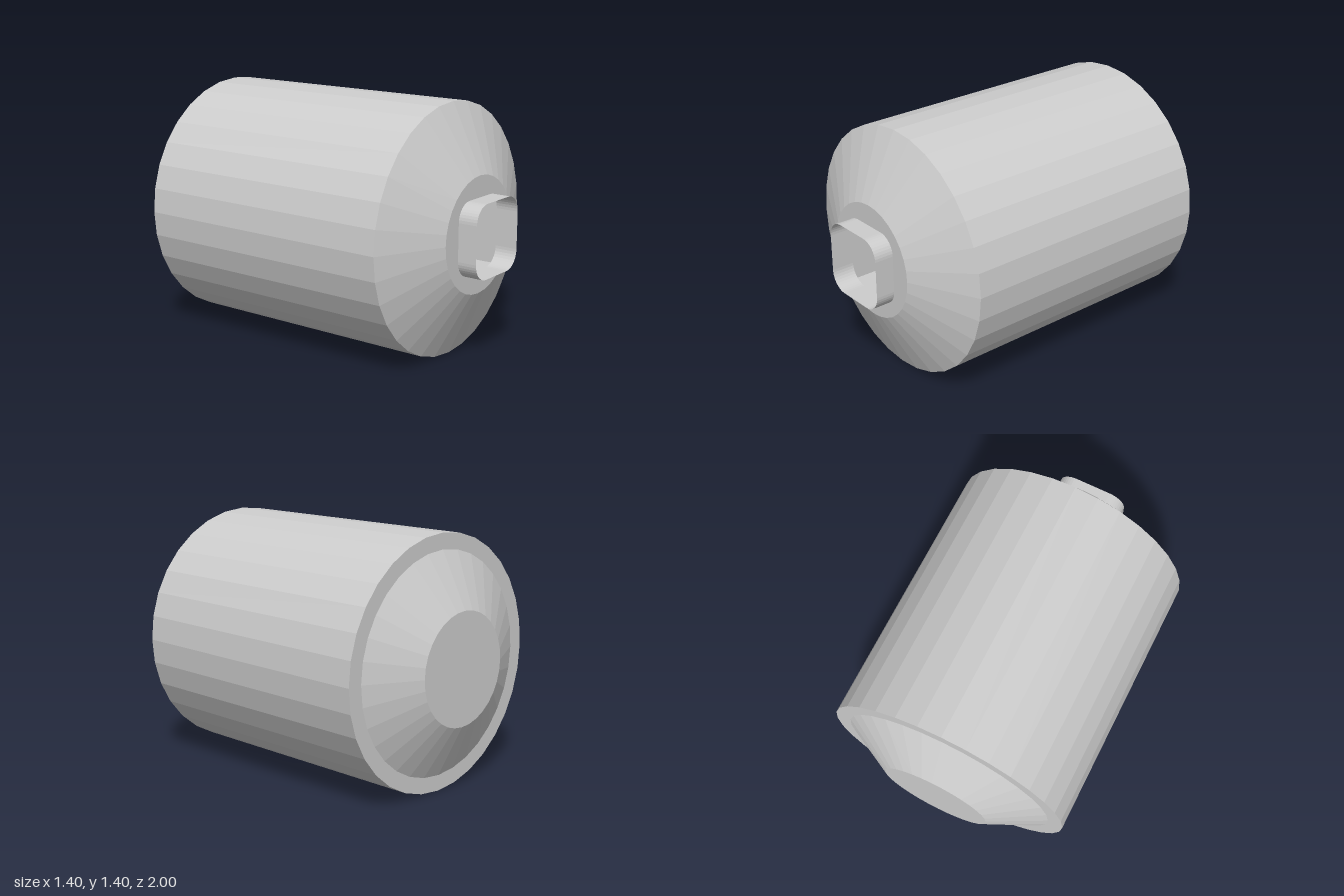
import * as THREE from 'three';

const hullGrey = new THREE.MeshStandardMaterial({ color: 0xcccccc, flatShading: true, side: THREE.DoubleSide });
const SIDES = 32;
const CENTRE_Y = 0.698;

// Square outline with rounded corners, centred on the hull axis
function roundedSquare(half, r) {
  const s = new THREE.Shape();
  s.moveTo(half - r, -half);
  [[1, -1, -90], [1, 1, 0], [-1, 1, 90], [-1, -1, 180]].forEach(([x, y, a]) => {
    const start = THREE.MathUtils.degToRad(a);
    s.absarc(x * (half - r), y * (half - r), r, start, start + Math.PI / 2, false);
  });
  return s;
}

// Open wall following an outline between two depths
function sleeve(outline, z0, z1) {
  const pts = outline.getPoints(5);
  const pos = [];
  pts.forEach((a, i) => {
    const b = pts[(i + 1) % pts.length];
    if (a.distanceTo(b) < 1e-5) return;
    pos.push(a.x, a.y, z0, b.x, b.y, z0, b.x, b.y, z1);
    pos.push(a.x, a.y, z0, b.x, b.y, z1, a.x, a.y, z1);
  });
  const g = new THREE.BufferGeometry();
  g.setAttribute('position', new THREE.Float32BufferAttribute(pos, 3));
  g.computeVertexNormals();
  return g;
}

export function createModel() {
  const group = new THREE.Group();
  const add = (name, geometry) => {
    const mesh = new THREE.Mesh(geometry, hullGrey);
    mesh.name = name;
    mesh.position.y = CENTRE_Y;
    group.add(mesh);
    return mesh;
  };
  // Profile points are [radius, z], running from back to front
  const turned = (name, profile) => {
    const g = new THREE.LatheGeometry(profile.map(([r, z]) => new THREE.Vector2(r, z)), SIDES);
    g.rotateX(Math.PI / 2);
    return add(name, g);
  };

  // Pressure hull: barrel, end cones and the step at the back
  turned('barrel', [[0.698, -0.845], [0.698, 0.71]]);
  turned('frontCone', [[0.698, 0.71], [0.323, 0.89]]);
  turned('backRim', [[0.61, -0.845], [0.698, -0.845]]);
  turned('backCone', [[0.31, -1], [0.61, -0.845]]);
  turned('backCap', [[0, -1], [0.31, -1]]);

  // Front bulkhead, pierced by the hatch
  const bulkhead = new THREE.Shape();
  for (let i = 0; i < SIDES; i++) {
    const a = (i / SIDES) * Math.PI * 2;
    const x = 0.323 * Math.cos(a), y = 0.323 * Math.sin(a);
    if (i) bulkhead.lineTo(x, y); else bulkhead.moveTo(x, y);
  }
  bulkhead.holes.push(new THREE.Path(roundedSquare(0.204, 0.1).getPoints(5)));
  const face = new THREE.ShapeGeometry(bulkhead);
  face.translate(0, 0, 0.89);
  add('frontBulkhead', face);

  // Thin hatch collar, open at both ends
  add('hatchCollar', sleeve(roundedSquare(0.204, 0.1), 0.87, 1));

  // Inner passage behind the hatch, closed at the far end
  const square = new THREE.Shape([[-1, -1], [1, -1], [1, 1], [-1, 1]]
    .map(([x, y]) => new THREE.Vector2(x * 0.207, y * 0.207)));
  add('passageWalls', sleeve(square, -0.83, 0.885));
  const end = new THREE.ShapeGeometry(square);
  end.translate(0, 0, -0.83);
  add('passageEnd', end);

  return group;
}
